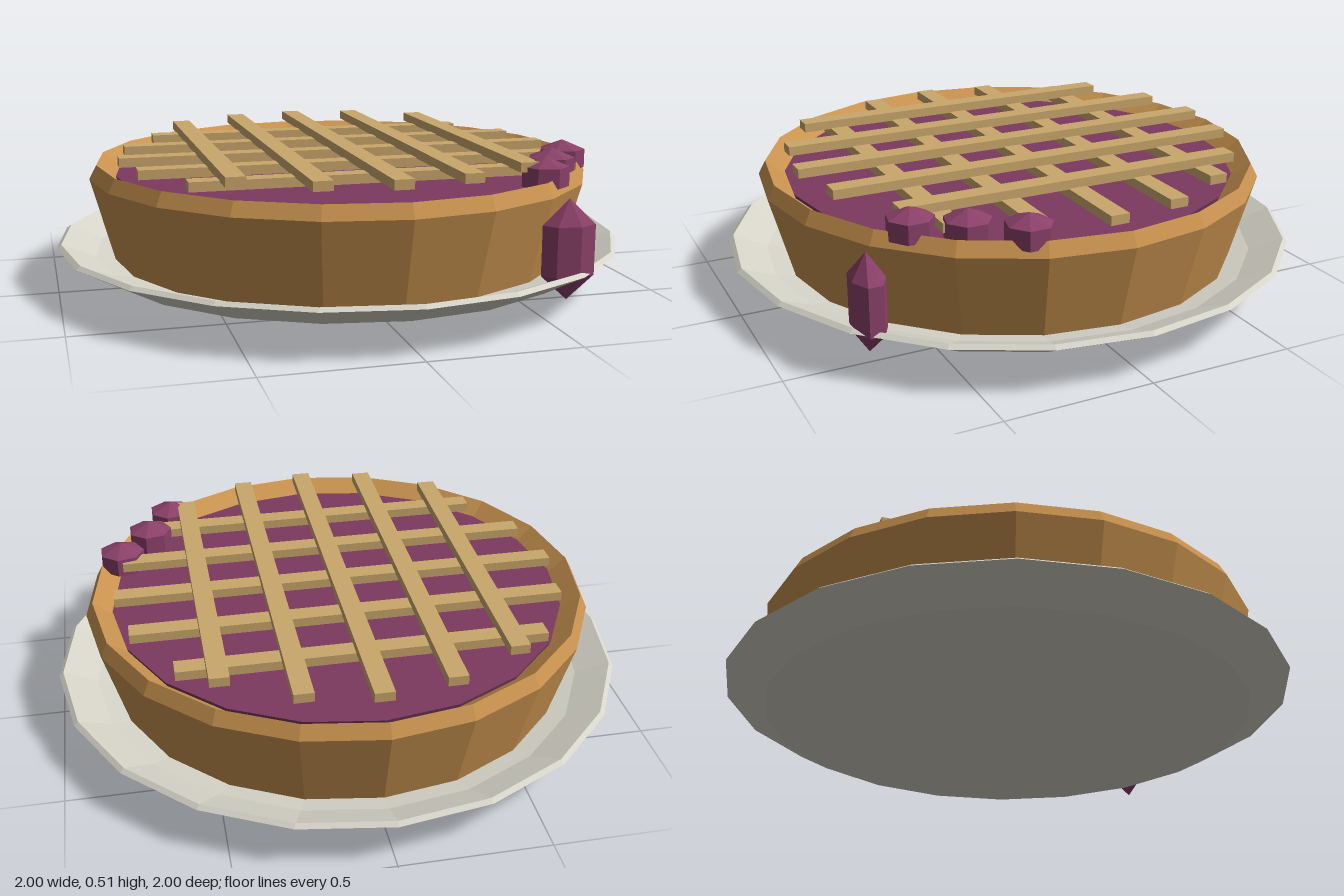
import * as THREE from 'three';

const SIDES = 20;
const material = (color) => new THREE.MeshStandardMaterial({ color, flatShading: true });
const plateMat = material(0xd6d4c8);
const crustMat = material(0xc8924f);
const latticeMat = material(0xcaa76b);
const fillingMat = material(0x7c3a60);
const berryMat = material(0x8a4068);

function add(parent, name, geometry, mat, x = 0, y = 0, z = 0) {
  const mesh = new THREE.Mesh(geometry, mat);
  mesh.name = name;
  mesh.position.set(x, y, z);
  parent.add(mesh);
  return mesh;
}

// Profile runs from the bottom centre outwards and back over the top
function lathe(points) {
  return new THREE.LatheGeometry(points.map(([r, y]) => new THREE.Vector2(r, y)), SIDES);
}

// Faceted blob: pointed top and bottom with a straight-sided middle
function blob(parent, name, [x, y, z], [rx, ry, rz]) {
  add(parent, name, new THREE.SphereGeometry(1, 7, 3), berryMat, x, y, z).scale.set(rx, ry, rz);
}

export function createModel() {
  const pie = new THREE.Group();
  pie.name = 'pie';

  // Shallow dish
  add(pie, 'plate', lathe([
    [0, 0], [0.43, 0], [0.53, 0.015], [0.86, 0.08], [1, 0.158],
    [0.985, 0.17], [0.87, 0.12], [0.5, 0.05], [0, 0.04],
  ]), plateMat);

  // Crust shell with a bevelled rim sloping in to the filling
  add(pie, 'crust', lathe([
    [0, 0.1], [0.8, 0.1], [0.88, 0.395], [0.855, 0.442], [0.785, 0.385], [0.77, 0.36],
  ]), crustMat);

  add(pie, 'filling', new THREE.CylinderGeometry(0.79, 0.77, 0.06, SIDES), fillingMat, 0, 0.37, 0);

  // Two layers of crossing strips, shorter towards the edges
  const lattice = new THREE.Group();
  lattice.name = 'lattice';
  pie.add(lattice);
  const halfLengths = [0.78, 0.74, 0.61];
  for (let i = -2; i <= 2; i++) {
    const length = 2 * halfLengths[Math.abs(i)];
    add(lattice, 'crossStrip', new THREE.BoxGeometry(length, 0.032, 0.065), latticeMat, 0, 0.451, i * 0.24);
    add(lattice, 'lengthStrip', new THREE.BoxGeometry(0.065, 0.032, length), latticeMat, i * 0.24, 0.48, 0);
  }

  // Berries along the rim and one long drip through the plate's edge
  for (const [x, z] of [[0.74, 0.29], [0.63, 0.44], [0.54, 0.59]]) {
    blob(pie, 'berry', [x, 0.447, z], [0.092, 0.064, 0.088]);
  }
  blob(pie, 'drip', [0.56, 0.235, 0.74], [0.104, 0.165, 0.064]);

  return pie;
}
